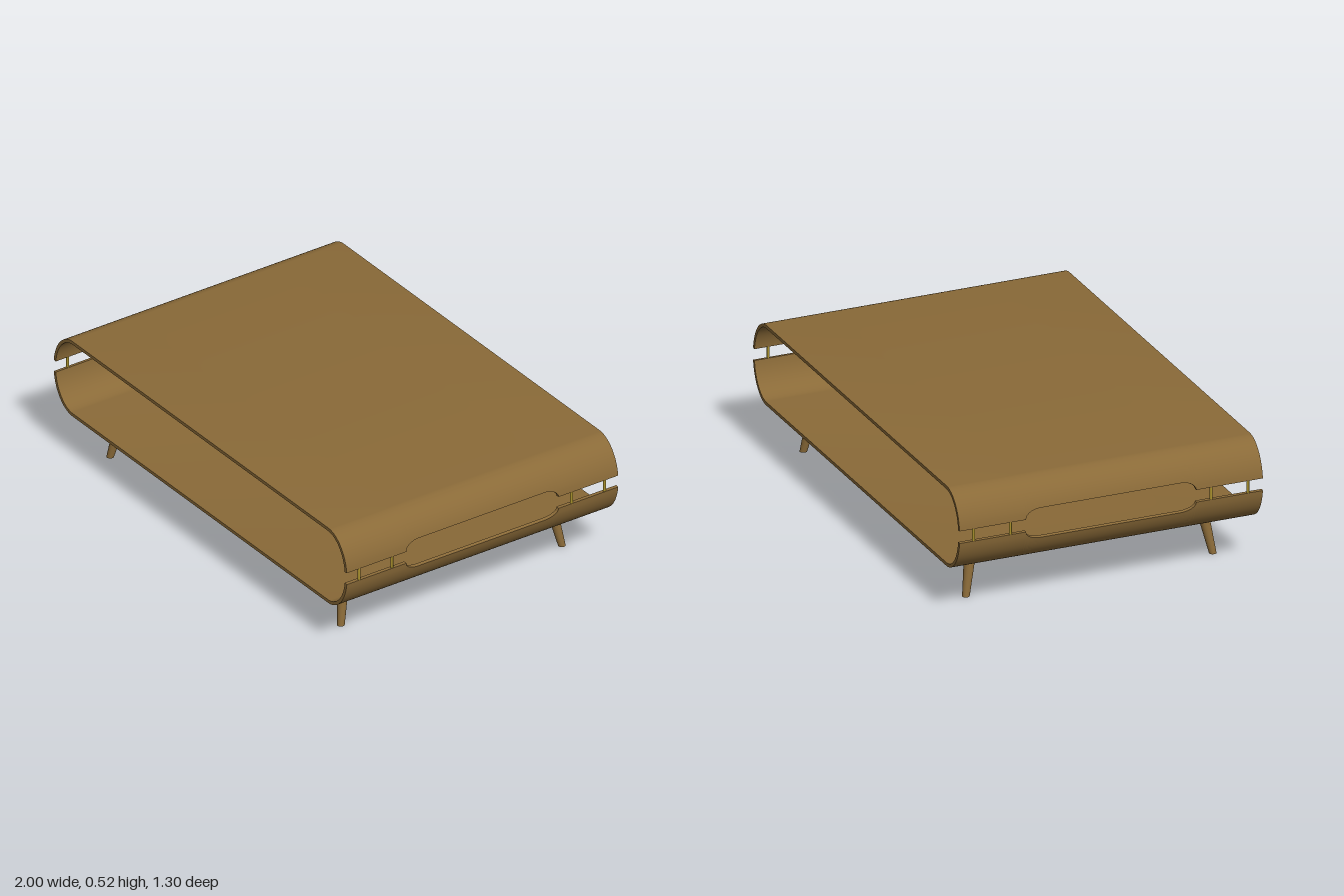
import * as THREE from 'three';
import { toCreasedNormals } from 'three/addons/utils/BufferGeometryUtils.js';

const MID = 0.354, RX = 0.13, RY = 0.171, THICK = 0.014, DEPTH = 0.65;
const GAP = 0.026, HANDLE = 0.063, HANDLE_FLAT = 0.3, HANDLE_ROUND = 0.065;

// Height of the cut edge above the middle line at depth z: narrow slot, wide rounded handle opening
function edgeHeight(z) {
  const t = (Math.abs(z) - HANDLE_FLAT) / HANDLE_ROUND;
  if (t <= 0) return HANDLE;
  if (t >= 1) return GAP;
  return GAP + (HANDLE - GAP) * Math.sqrt(1 - t * t);
}

// Closed section of the half shell at depth z: outer skin, then inner skin back again
function section(z) {
  const steps = 20, start = Math.asin(edgeHeight(z) / RY);
  const outer = [], inner = [];
  for (const side of [1, -1]) {
    for (let i = 0; i <= steps; i++) {
      const k = side > 0 ? i / steps : 1 - i / steps;
      const a = start + (Math.PI / 2 - start) * k;
      const x = 1 - RX + RX * Math.cos(a), y = RY * Math.sin(a);
      const n = new THREE.Vector2(Math.cos(a) / RX, Math.sin(a) / RY).normalize();
      outer.push([side * x, y, z]);
      inner.push([side * (x - n.x * THICK), y - n.y * THICK, z]);
    }
  }
  return [...outer, ...inner.reverse()];
}

function halfShellGeometry() {
  // Depth stations, packed closely along the rounded ends of the opening
  const half = [DEPTH];
  for (let i = 0; i <= 12; i++) half.push(HANDLE_FLAT + HANDLE_ROUND * Math.cos((i / 12) * Math.PI / 2));
  const stations = [...half.map(z => -z), ...half.reverse()];
  const rings = stations.map(section);
  const n = rings[0].length, pos = [];
  const quad = (a, b, c, d) => pos.push(...a, ...b, ...c, ...a, ...c, ...d);
  for (let i = 0; i < rings.length - 1; i++) {
    for (let j = 0; j < n; j++) {
      const k = (j + 1) % n;
      quad(rings[i][j], rings[i][k], rings[i + 1][k], rings[i + 1][j]);
    }
  }
  // Front and back rims
  const back = rings[0], front = rings[rings.length - 1];
  for (let j = 0; j < n / 2 - 1; j++) {
    const p = n - 1 - j, q = n - 2 - j;
    quad(front[j], front[j + 1], front[q], front[p]);
    quad(back[j], back[p], back[q], back[j + 1]);
  }
  const geo = new THREE.BufferGeometry();
  geo.setAttribute('position', new THREE.Float32BufferAttribute(pos, 3));
  return toCreasedNormals(geo, 0.6);
}

export function createModel() {
  const model = new THREE.Group();
  model.name = 'coffeeTable';
  const wood = new THREE.MeshStandardMaterial({ color: 0x8a6a38 });
  const brass = new THREE.MeshStandardMaterial({ color: 0xa8902c });
  const add = (name, geo, mat, x, y, z) => {
    const mesh = new THREE.Mesh(geo, mat);
    mesh.name = name;
    mesh.position.set(x, y, z);
    model.add(mesh);
    return mesh;
  };

  // Upper and lower halves of the bent shell
  const shell = halfShellGeometry();
  add('topShell', shell, wood, 0, MID, 0);
  add('bottomShell', shell, wood, 0, MID, 0).rotation.z = Math.PI;

  // Pins joining the halves across the side slots
  const pin = new THREE.CylinderGeometry(0.006, 0.006, 2 * GAP + 0.008, 16);
  for (const x of [-0.992, 0.992]) {
    for (const z of [-0.588, -0.43, 0.43, 0.588]) add('pin', pin, brass, x, MID, z);
  }

  // Tapered legs splayed outwards, with flat feet
  const legHeight = 0.192;
  for (const sx of [-1, 1]) {
    for (const sz of [-1, 1]) {
      const leg = new THREE.CylinderGeometry(0.025, 0.015, legHeight, 32);
      leg.translate(0, legHeight / 2, 0);
      const p = leg.attributes.position;
      for (let i = 0; i < p.count; i++) {
        const k = p.getY(i) / legHeight;
        p.setX(i, p.getX(i) - sx * 0.033 * k);
        p.setZ(i, p.getZ(i) - sz * 0.035 * k);
      }
      leg.computeVertexNormals();
      add('leg', leg, wood, sx * 0.786, 0, sz * 0.529);
    }
  }
  return model;
}
